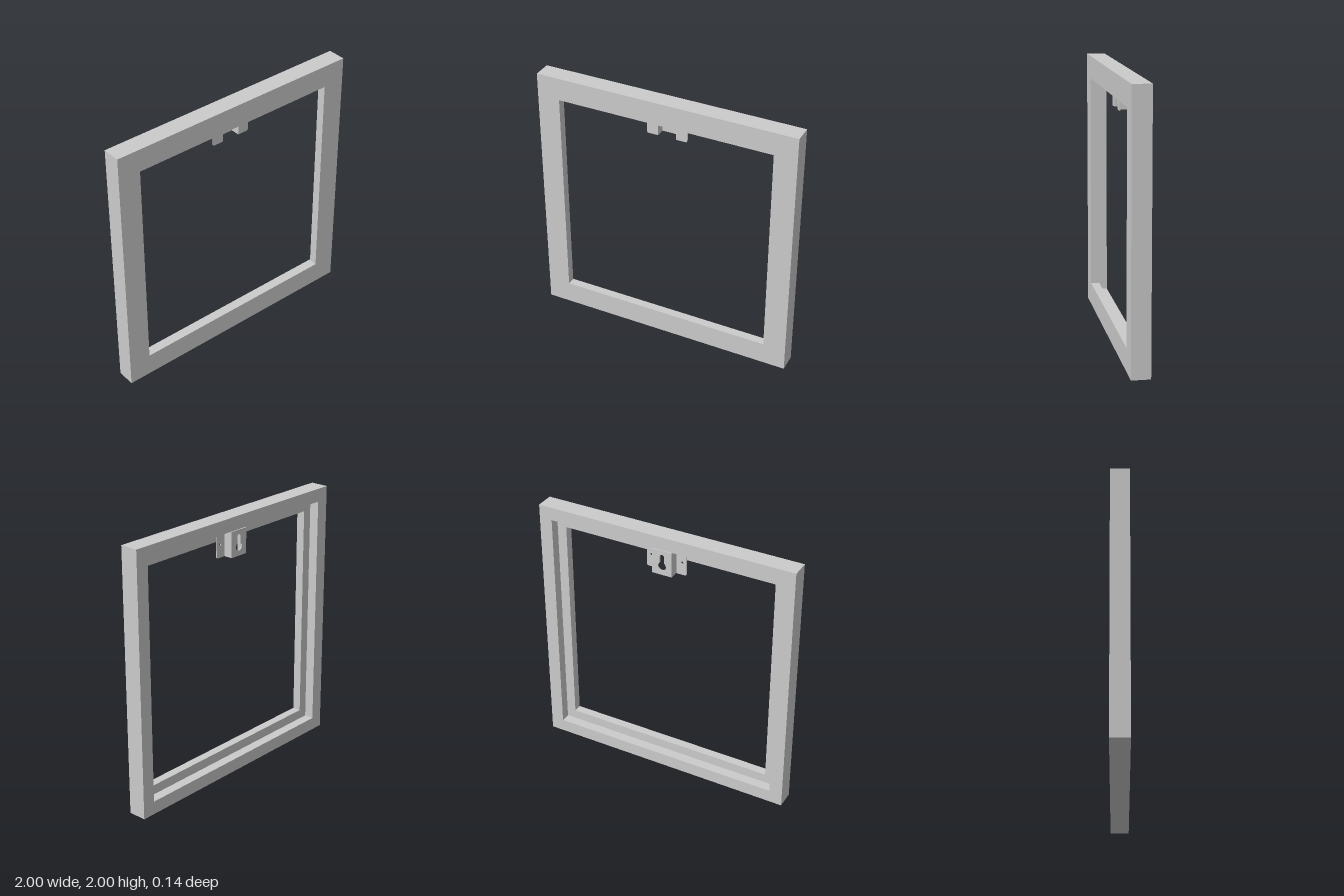
import * as THREE from 'three';

const material = new THREE.MeshStandardMaterial({ color: 0xcccccc, flatShading: true });

const T = 0.008;                      // sheet thickness of the hanger
const BOTTOM = 1.705, TOP = 1.897;    // hanger height range
const BACK = -0.071, LEDGE = 0.006;   // hanger depth range
const HALF = 0.077, OUTER = 0.157;    // half widths of raised plate and whole hanger

function addMesh(parent, geometry, name) {
  const mesh = new THREE.Mesh(geometry, material);
  mesh.name = name;
  parent.add(mesh);
  return mesh;
}

function sheet(shape, z) {
  const geometry = new THREE.ExtrudeGeometry(shape, { depth: T, bevelEnabled: false, curveSegments: 16 });
  return geometry.translate(0, 0, z);
}

// Square ring with a rebate at the back: a stepped section swept round four mitred corners
function frameGeometry() {
  const section = [
    [1, -0.068], [1, 0.071], [0.827, 0.071], [0.827, LEDGE],
    [0.9, LEDGE], [0.9, -0.068], [1, -0.068],
  ].map(([r, z]) => new THREE.Vector2(r * Math.SQRT2, z));
  const geometry = new THREE.LatheGeometry(section, 4, Math.PI / 4).toNonIndexed();
  geometry.rotateX(Math.PI / 2).translate(0, 1, 0);
  geometry.computeVertexNormals();
  return geometry;
}

// Raised plate with a keyhole: round opening below, narrow slot above
function keyholePlate() {
  const plate = new THREE.Shape([
    new THREE.Vector2(-HALF, BOTTOM), new THREE.Vector2(HALF, BOTTOM),
    new THREE.Vector2(HALF, TOP), new THREE.Vector2(-HALF, TOP),
  ]);
  const cy = 1.773, r = 0.031, w = 0.017, slotTop = 1.848;
  const a = Math.acos(w / r);
  const hole = new THREE.Path();
  hole.absarc(0, slotTop, w, 0, Math.PI, false);
  hole.absarc(0, cy, r, Math.PI - a, Math.PI * 2 + a, false);
  hole.closePath();
  plate.holes.push(hole);
  return sheet(plate, BACK);
}

// Screw flange with rounded outer corners and a small hole
function flange(side) {
  const r = 0.014, inner = HALF - T;
  const shape = new THREE.Shape();
  shape.moveTo(side * inner, BOTTOM);
  shape.lineTo(side * (OUTER - r), BOTTOM);
  shape.quadraticCurveTo(side * OUTER, BOTTOM, side * OUTER, BOTTOM + r);
  shape.lineTo(side * OUTER, TOP - r);
  shape.quadraticCurveTo(side * OUTER, TOP, side * (OUTER - r), TOP);
  shape.lineTo(side * inner, TOP);
  shape.closePath();
  const hole = new THREE.Path();
  hole.absarc(side * 0.122, 1.801, 0.009, 0, Math.PI * 2);
  shape.holes.push(hole);
  return sheet(shape, LEDGE - T);
}

export function createModel() {
  const model = new THREE.Group();
  model.name = 'pictureFrame';
  addMesh(model, frameGeometry(), 'frame');

  const hanger = new THREE.Group();
  hanger.name = 'hanger';
  model.add(hanger);
  addMesh(hanger, keyholePlate(), 'keyholePlate');

  // Legs join the raised plate to the flanges on the rebate ledge
  const depth = LEDGE - BACK - 2 * T;
  for (const [side, label] of [[1, 'left'], [-1, 'right']]) {
    addMesh(hanger, flange(side), label + 'Flange');
    const leg = addMesh(hanger, new THREE.BoxGeometry(T, TOP - BOTTOM, depth), label + 'Leg');
    leg.position.set(side * (HALF - T / 2), (TOP + BOTTOM) / 2, BACK + T + depth / 2);
  }
  return model;
}
